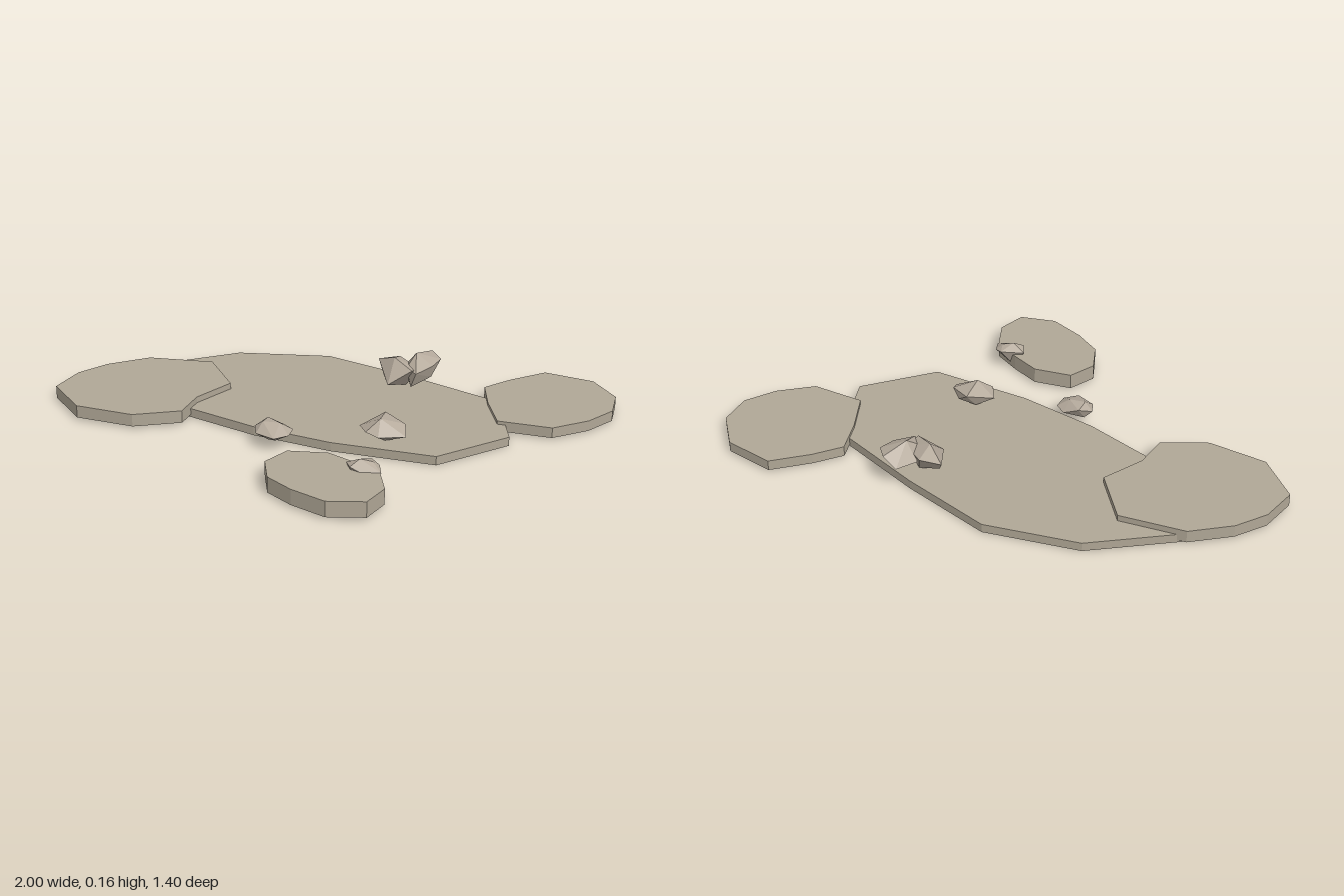
import * as THREE from 'three';
import { ConvexGeometry } from 'three/addons/geometries/ConvexGeometry.js';

const slabStone = new THREE.MeshStandardMaterial({ color: 0xb0a796 });
slabStone.name = 'slab stone';
const pebbleStone = new THREE.MeshStandardMaterial({ color: 0xb5aa9c });
pebbleStone.name = 'pebble stone';

// Flat slab from an [x, z] outline between two heights
function slab(name, bottom, top, outline) {
  const shape = new THREE.Shape(outline.map(([x, z]) => new THREE.Vector2(x, -z)));
  const geometry = new THREE.ExtrudeGeometry(shape, { depth: top - bottom, bevelEnabled: false });
  geometry.rotateX(-Math.PI / 2).translate(0, bottom, 0);
  const mesh = new THREE.Mesh(geometry, slabStone);
  mesh.name = name;
  return mesh;
}

// Faceted rock as the hull of a few [x, y, z] corners
function rock(name, corners) {
  const geometry = new ConvexGeometry(corners.map((c) => new THREE.Vector3(...c)));
  const mesh = new THREE.Mesh(geometry, pebbleStone);
  mesh.name = name;
  return mesh;
}

export function createModel() {
  const model = new THREE.Group();
  model.name = 'rockyGround';

  // Overlapping slabs
  model.add(
    slab('mainSlab', 0, 0.035, [
      [-0.2, -0.505], [0.166, -0.463], [0.57, -0.387], [0.72, -0.11], [0.54, 0.155],
      [0.15, 0.217], [-0.166, 0.22], [-0.63, 0.16], [-0.8, -0.12], [-0.545, -0.377],
    ]),
    slab('rightSlab', 0.01, 0.059, [
      [-0.572, -0.198], [-0.406, -0.045], [-0.46, 0.126], [-0.449, 0.26], [-0.6, 0.37],
      [-0.83, 0.393], [-1, 0.275], [-0.995, 0.126], [-0.936, 0.003], [-0.818, -0.126],
    ]),
    slab('backLeftSlab', 0.007, 0.048, [
      [0.652, -0.7], [0.85, -0.7], [0.973, -0.596], [1, -0.468], [0.947, -0.345],
      [0.845, -0.227], [0.64, -0.195], [0.55, -0.334], [0.487, -0.463], [0.55, -0.57],
    ]),
    slab('frontSlab', 0.01, 0.071, [
      [0.21, 0.361], [0.33, 0.388], [0.44, 0.425], [0.503, 0.527], [0.487, 0.64],
      [0.358, 0.698], [0.214, 0.67], [0.1, 0.623], [0.037, 0.52], [0.07, 0.41],
    ]),
  );

  // Scattered rocks
  model.add(
    rock('backRockLow', [
      [0.065, 0.115, -0.4], [0.14, 0.125, -0.437], [0.25, 0.11, -0.38], [0.24, 0.125, -0.32],
      [0.16, 0.07, -0.272], [0.15, 0.15, -0.36], [0.1, 0.065, -0.37], [0.19, 0.035, -0.38],
      [0.14, 0.04, -0.34],
    ]),
    rock('backRockTall', [
      [0.246, 0.14, -0.513], [0.3, 0.13, -0.468], [0.294, 0.125, -0.398], [0.257, 0.115, -0.318],
      [0.203, 0.12, -0.355], [0.166, 0.095, -0.42], [0.193, 0.1, -0.505], [0.22, 0.163, -0.41],
      [0.25, 0.05, -0.45], [0.23, 0.05, -0.335], [0.28, 0.07, -0.42],
    ]),
    rock('middleRock', [
      [0.278, 0.1, 0.013], [0.374, 0.085, 0.05], [0.4, 0.06, 0.104], [0.315, 0.065, 0.165],
      [0.262, 0.075, 0.158], [0.214, 0.07, 0.104], [0.3, 0.117, 0.11], [0.27, 0.04, 0.06],
      [0.32, 0.033, 0.11], [0.33, 0.06, 0.03],
    ]),
    rock('frontRock', [
      [-0.048, 0.06, 0.198], [0, 0.06, 0.222], [0.01, 0.06, 0.28], [-0.027, 0.06, 0.329],
      [-0.107, 0.06, 0.313], [-0.137, 0.065, 0.265], [-0.107, 0.085, 0.215], [-0.1, 0.092, 0.27],
      [-0.04, 0.09, 0.25], [-0.08, 0.023, 0.27], [-0.04, 0.035, 0.29], [-0.11, 0.035, 0.25],
    ]),
    rock('frontSlabRock', [
      [0.305, 0.08, 0.415], [0.38, 0.085, 0.361], [0.417, 0.075, 0.377], [0.444, 0.07, 0.425],
      [0.417, 0.055, 0.452], [0.337, 0.085, 0.455], [0.36, 0.106, 0.42], [0.4, 0.095, 0.4],
      [0.36, 0.025, 0.4], [0.4, 0.03, 0.43], [0.33, 0.045, 0.43],
    ]),
  );
  return model;
}
